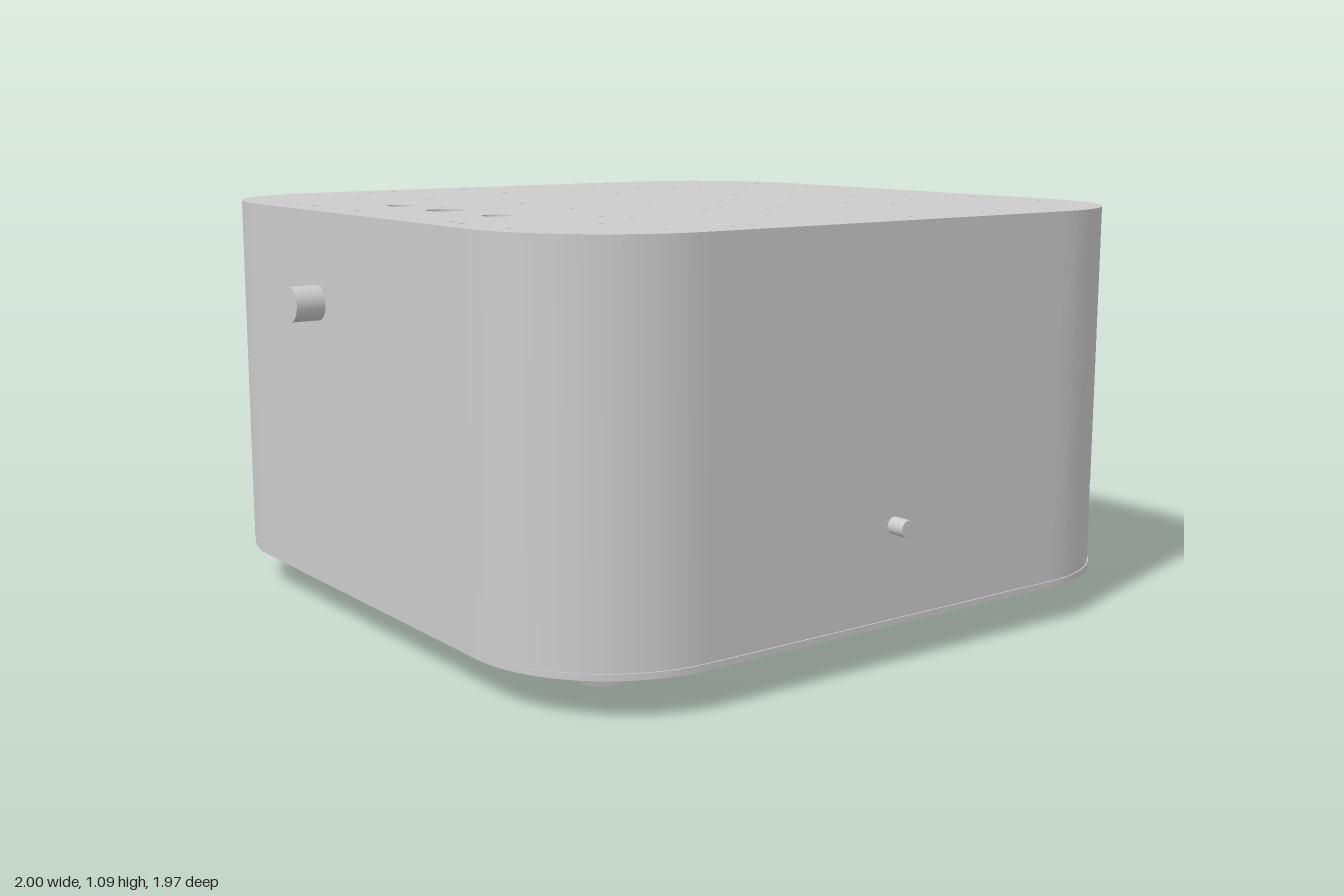
import * as THREE from 'three';

const R = 0.38, T = 0.016;            // corner radius, wall thickness
const X0 = -0.54, X1 = 0.62;          // corner centres in x
const Y0 = -0.555, Y1 = 0.605;        // corner centres in -z
const BASE = 0.10, TOP = 1.09, CUT = 0.84;

// Rounded-square outline in plan; end > 0 leaves the +x side open
function traceOutline(path, r, end = 0, reverse = false) {
  const q = Math.PI / 2;
  const arcs = [[X1, Y1, end, q], [X0, Y1, q, 2 * q], [X0, Y0, 2 * q, 3 * q], [X1, Y0, 3 * q, 4 * q - end]];
  if (reverse) arcs.reverse().forEach(([x, y, a, b]) => path.absarc(x, y, r, b, a, true));
  else arcs.forEach(([x, y, a, b]) => path.absarc(x, y, r, a, b, false));
  return path;
}

function circle(x, z, r) {
  return new THREE.Path().absarc(x, -z, r, 0, Math.PI * 2, true);
}

export function createModel() {
  const model = new THREE.Group();
  const grey = new THREE.MeshStandardMaterial({ color: 0xcccccc });
  const greyDouble = new THREE.MeshStandardMaterial({ color: 0xcccccc, side: THREE.DoubleSide });

  function add(name, geometry, x = 0, y = 0, z = 0, material = grey) {
    const mesh = new THREE.Mesh(geometry, material);
    mesh.name = name;
    mesh.position.set(x, y, z);
    model.add(mesh);
    return mesh;
  }
  function slab(name, shape, y0, y1, curveSegments = 12) {
    const g = new THREE.ExtrudeGeometry(shape, { depth: y1 - y0, bevelEnabled: false, curveSegments });
    g.rotateX(-Math.PI / 2);
    return add(name, g, 0, y0, 0);
  }

  // Hollow wall, with a side slot between the lower and upper bands
  const ring = traceOutline(new THREE.Shape(), R);
  ring.holes.push(traceOutline(new THREE.Path(), R - T, 0, true));
  slab('lowerWall', ring, BASE + T, 0.275);
  slab('upperWall', ring, 0.335, TOP - T);
  const slotted = traceOutline(new THREE.Shape(), R, Math.acos((CUT - X1) / R));
  traceOutline(slotted, R - T, Math.acos((CUT - X1) / (R - T)), true);
  slab('slottedWall', slotted, 0.275, 0.335);

  // Floor plate, a hair forward of the wall
  slab('floorPlate', traceOutline(new THREE.Shape(), R), BASE, BASE + T).position.z = 0.004;

  // Top plate with button holes, a grid of small holes and countersunk screw holes
  const lid = traceOutline(new THREE.Shape(), R);
  lid.holes.push(circle(-0.645, -0.275, 0.036), circle(-0.645, -0.035, 0.048), circle(-0.645, 0.22, 0.036));
  for (let i = 0; i < 8; i++) {
    for (let j = 0; j < 8; j++) {
      const corner = (i === 0 || i === 7) && (j === 0 || j === 7);
      if (!corner) lid.holes.push(circle(-0.832 + i * 0.248, -0.895 + j * 0.248, 0.008));
    }
  }
  const screws = [
    [-0.4, -0.905], [0.473, -0.91], [-0.845, -0.46], [-0.455, -0.46],
    [-0.4, -0.515], [0.473, -0.52], [0.525, -0.465], [0.915, -0.465],
    [-0.84, 0.41], [-0.45, 0.41], [-0.398, 0.465], [0.475, 0.46],
    [0.53, 0.408], [0.92, 0.408], [-0.398, 0.857], [0.475, 0.852],
  ];
  const sink = new THREE.CylinderGeometry(0.016, 0.008, T, 24, 1, true);
  for (const [x, z] of screws) {
    lid.holes.push(circle(x, z, 0.016));
    add('countersink', sink, x, TOP - T / 2, z, greyDouble);
  }
  slab('topPlate', lid, TOP - T, TOP);

  // Four wheels poking through the floor
  const wheel = new THREE.CylinderGeometry(0.17, 0.17, 0.075, 40).rotateX(Math.PI / 2);
  for (const x of [-0.61, 0.68]) {
    for (const z of [0.622, -0.667]) add('wheel', wheel, x, 0.17, z);
  }

  // Side stub and front peg
  add('sideStub', new THREE.CylinderGeometry(0.046, 0.046, 0.1, 32).rotateZ(Math.PI / 2), -0.95, 0.853, -0.218);
  add('frontPeg', new THREE.CylinderGeometry(0.022, 0.022, 0.066, 24).rotateX(Math.PI / 2), 0.037, 0.352, 0.952);

  return model;
}
